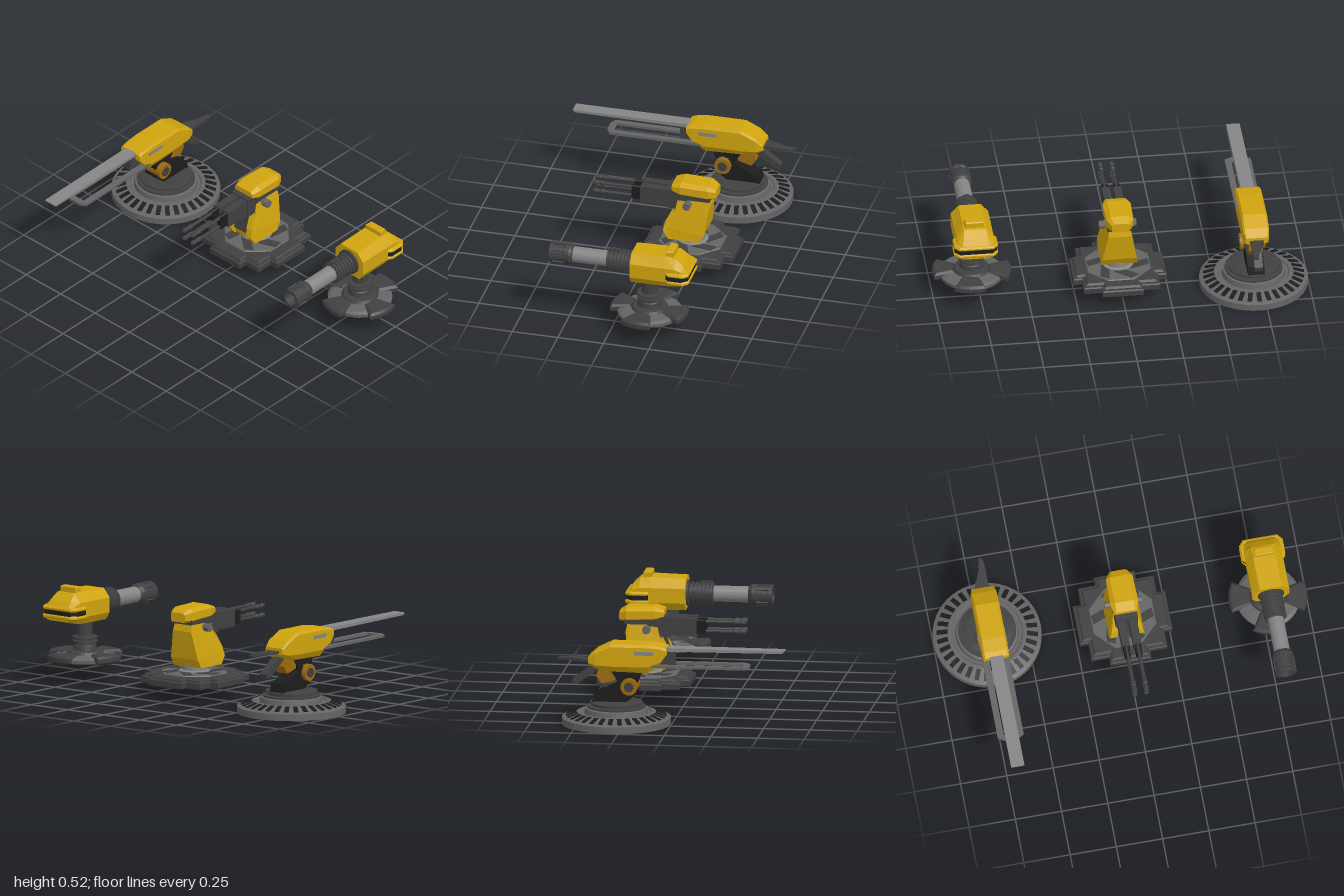
import * as THREE from 'three';

const mat = (color) => new THREE.MeshStandardMaterial({ color, flatShading: true, side: THREE.DoubleSide });
const yellow = mat(0xd0a40e), orange = mat(0x9c6c12), steel = mat(0x858585), grey = mat(0x646464), dark = mat(0x404040), black = mat(0x1c1c1c);

function add(group, name, geo, material, x = 0, y = 0, z = 0) {
  const m = new THREE.Mesh(geo, material);
  m.name = name;
  m.position.set(x, y, z);
  group.add(m);
  return m;
}
const box = (w, h, d) => new THREE.BoxGeometry(w, h, d);
const cylX = (r, l, n = 20) => new THREE.CylinderGeometry(r, r, l, n).rotateZ(Math.PI / 2);
const lathe = (pts, n = 40) => new THREE.LatheGeometry(pts.map(([r, y]) => new THREE.Vector2(r, y)), n);
const latheZ = (pts, n = 24) => lathe(pts, n).rotateX(Math.PI / 2);
const shapeOf = (pts) => new THREE.Shape(pts.map(([a, b]) => new THREE.Vector2(a, b)));

// Side outline (z, y) given a width along x
function side(pts, width) {
  return new THREE.ExtrudeGeometry(shapeOf(pts), { depth: width, bevelEnabled: false })
    .rotateY(-Math.PI / 2).translate(width / 2, 0, 0);
}
// Plan outline (x, z) given a height along y, with an optional chamfer
function plan(pts, height, bevel = 0, hole = null) {
  const shape = shapeOf(pts.map(([x, z]) => [x, -z]));
  if (hole) shape.holes.push(shapeOf(hole.map(([x, z]) => [x, -z])));
  return new THREE.ExtrudeGeometry(shape, {
    depth: height - 2 * bevel, bevelEnabled: bevel > 0, bevelSize: bevel, bevelOffset: -bevel,
    bevelThickness: bevel, bevelSegments: 1,
  }).rotateX(-Math.PI / 2).translate(0, bevel, 0);
}
// Eight-sided hull through sections [z, y0, y1, y2, y3, bottomHalf, midHalf, topHalf], rear to front
function hull(sections) {
  const pos = [], idx = [], n = 8;
  for (const [z, y0, y1, y2, y3, b, m, t] of sections)
    for (const [x, y] of [[b, y0], [m, y1], [m, y2], [t, y3], [-t, y3], [-m, y2], [-m, y1], [-b, y0]]) pos.push(x, y, z);
  for (let s = 0; s < sections.length - 1; s++)
    for (let i = 0; i < n; i++) {
      const a = s * n + i, b = s * n + (i + 1) % n;
      idx.push(a, b, b + n, a, b + n, a + n);
    }
  const f = (sections.length - 1) * n;
  for (let i = 1; i < n - 1; i++) idx.push(0, i + 1, i, f, f + i, f + i + 1);
  const g = new THREE.BufferGeometry();
  g.setAttribute('position', new THREE.Float32BufferAttribute(pos, 3));
  g.setIndex(idx);
  const flat = g.toNonIndexed();
  flat.computeVertexNormals();
  return flat;
}

// Rail gun turret on a slotted round base
function railTurret() {
  const g = new THREE.Group(), bz = -0.295;
  g.name = 'railTurret';
  add(g, 'roundBase', lathe([[0, 0], [0.29, 0], [0.29, 0.036], [0.275, 0.042], [0.205, 0.066], [0.19, 0.066],
    [0.185, 0.058], [0.17, 0.058], [0.165, 0.085], [0.15, 0.09], [0, 0.09]], 48), grey, 0, 0, bz);
  add(g, 'turntable', lathe([[0.155, 0.09], [0.155, 0.098], [0.125, 0.1], [0.125, 0.108], [0.14, 0.11], [0.14, 0.118],
    [0.11, 0.124], [0, 0.124]]), dark, 0, 0, bz);
  for (let i = 0; i < 32; i++) {
    const slot = new THREE.Group();
    slot.name = 'baseSlot';
    slot.position.z = bz;
    slot.rotation.y = i / 32 * Math.PI * 2;
    add(slot, 'slotInset', box(0.06, 0.008, 0.024), black, 0.24, 0.0535, 0).rotation.z = -0.33;
    g.add(slot);
  }
  // Leaning arm and elbow
  add(g, 'lowerArm', side([[-0.42, 0.12], [-0.41, 0.165], [-0.33, 0.2], [-0.23, 0.255], [-0.18, 0.23], [-0.18, 0.17], [-0.24, 0.12]], 0.09), black);
  add(g, 'elbow', cylX(0.045, 0.135), orange, 0, 0.21, -0.22);
  add(g, 'elbowPin', cylX(0.026, 0.145), dark, 0, 0.21, -0.22);
  add(g, 'upperArm', side([[-0.26, 0.2], [-0.19, 0.19], [-0.15, 0.32], [-0.34, 0.32]], 0.075), black);
  add(g, 'rearArmour', side([[-0.3, 0.24], [-0.37, 0.22], [-0.4, 0.26], [-0.38, 0.32], [-0.28, 0.32]], 0.07), orange);
  add(g, 'rearStrut', side([[-0.39, 0.32], [-0.43, 0.31], [-0.53, 0.235], [-0.525, 0.21], [-0.5, 0.215], [-0.42, 0.27], [-0.37, 0.31]], 0.045), dark);
  // Housing
  add(g, 'housing', hull([
    [-0.44, 0.33, 0.335, 0.355, 0.365, 0.05, 0.06, 0.055],
    [-0.40, 0.305, 0.325, 0.39, 0.40, 0.05, 0.07, 0.062],
    [-0.32, 0.29, 0.32, 0.425, 0.44, 0.05, 0.07, 0.06],
    [-0.12, 0.285, 0.32, 0.425, 0.44, 0.05, 0.07, 0.06],
    [-0.05, 0.345, 0.35, 0.42, 0.43, 0.06, 0.07, 0.06],
    [-0.02, 0.385, 0.39, 0.41, 0.42, 0.06, 0.068, 0.06]]), yellow);
  for (const s of [-1, 1]) add(g, 'sideVent', box(0.006, 0.02, 0.1), steel, s * 0.07, 0.395, -0.14);
  add(g, 'breech', box(0.07, 0.07, 0.08), dark, 0, 0.365, -0.02);
  // Rails
  add(g, 'upperRail', side([[-0.1, 0.402], [0.6, 0.407], [0.61, 0.42], [-0.1, 0.422]], 0.072), steel);
  add(g, 'lowerRail', plan([[-0.07, -0.1], [-0.07, 0.4], [-0.035, 0.42], [0.035, 0.42], [0.07, 0.4], [0.07, -0.1]], 0.014, 0,
    [[-0.036, -0.08], [-0.036, 0.385], [0.036, 0.385], [0.036, -0.08]]), grey, 0, 0.318, 0);
  add(g, 'tailFin', plan([[-0.035, -0.42], [-0.035, -0.46], [0.002, -0.55], [0.01, -0.61], [0.03, -0.61], [0.037, -0.57], [0.037, -0.42]], 0.014),
    dark, 0, 0.336, 0);
  return g;
}

// Four-barrel turret on a stepped square base
function quadTurret() {
  const g = new THREE.Group(), bz = -0.23;
  g.name = 'quadTurret';
  const cross = (a, s, w) => [[a, w], [s, w], [s, s], [w, s], [w, a]];
  const outline = (a, s, w) => {
    const q = cross(a, s, w), pts = [];
    for (let k = 0; k < 4; k++)
      for (const [x, z] of q) pts.push([[x, z], [-z, x], [-x, -z], [z, -x]][k]);
    return pts;
  };
  add(g, 'baseSlab', plan(outline(0.25, 0.205, 0.11), 0.04, 0.006), dark, 0, 0.075, bz);
  add(g, 'baseStep', plan(outline(0.235, 0.19, 0.1), 0.025, 0.01), dark, 0, 0.105, bz);
  add(g, 'deckPlate', new THREE.CylinderGeometry(0.18, 0.185, 0.006, 8).rotateY(Math.PI / 8), grey, 0, 0.132, bz);
  for (let i = 0; i < 6; i++)
    add(g, 'deckBlade', plan([[0.06, 0.02], [0.16, -0.02], [0.165, 0.03], [0.06, 0.07]], 0.004), dark, 0, 0.134, bz).rotation.y = i * Math.PI / 3;
  add(g, 'pedestal', lathe([[0.085, 0.13], [0.085, 0.14], [0.068, 0.145], [0.068, 0.17], [0, 0.17]], 24), steel, 0, 0, bz);

  // Body narrows towards the head
  const taper = (geo) => {
    const p = geo.attributes.position;
    for (let i = 0; i < p.count; i++) {
      const k = THREE.MathUtils.clamp((p.getY(i) - 0.2) / 0.2, 0, 1);
      p.setX(i, p.getX(i) * (1 - 0.42 * k));
    }
    geo.computeVertexNormals();
    return geo;
  };
  add(g, 'bodyArmour', taper(side([[-0.13, 0.165], [-0.29, 0.165], [-0.315, 0.21], [-0.335, 0.36], [-0.32, 0.42],
    [-0.17, 0.42], [-0.15, 0.33], [-0.11, 0.23]], 0.19)), yellow);
  for (const s of [-1, 1])
    add(g, 'frontCheek', taper(side([[-0.14, 0.165], [-0.12, 0.165], [-0.09, 0.21], [-0.1, 0.26], [-0.14, 0.34]], 0.04).translate(s * 0.075, 0, 0)), yellow);
  add(g, 'frontPanel', side([[-0.18, 0.22], [-0.1, 0.22], [-0.125, 0.33], [-0.18, 0.36]], 0.085), dark);
  add(g, 'headBand', box(0.135, 0.03, 0.18), dark, 0, 0.415, -0.25);
  add(g, 'headCap', hull([
    [-0.37, 0.415, 0.425, 0.455, 0.465, 0.04, 0.048, 0.035],
    [-0.33, 0.415, 0.425, 0.47, 0.488, 0.06, 0.072, 0.05],
    [-0.18, 0.425, 0.435, 0.475, 0.493, 0.065, 0.075, 0.05],
    [-0.13, 0.44, 0.445, 0.465, 0.475, 0.055, 0.062, 0.05]]), yellow);
  add(g, 'sidePods', cylX(0.022, 0.2, 8), grey, 0, 0.375, -0.22);
  add(g, 'gunMount', box(0.12, 0.11, 0.12), dark, 0, 0.39, -0.16);

  // Two by two barrels
  for (const sx of [-1, 1]) {
    add(g, 'gunBlock', box(0.042, 0.095, 0.19), dark, sx * 0.031, 0.39, -0.05);
    add(g, 'gunShroud', box(0.032, 0.07, 0.06), black, sx * 0.031, 0.39, 0.065);
    for (const y of [0.367, 0.418])
      add(g, 'gunBarrel', latheZ([[0, -0.05], [0.009, -0.05], [0.009, 0.24], [0.014, 0.245], [0.014, 0.265], [0.01, 0.27],
        [0.01, 0.278], [0.014, 0.283], [0.014, 0.305], [0.008, 0.31], [0.005, 0.31], [0.005, 0.28], [0, 0.28]], 10), dark, sx * 0.031, y, 0);
  }
  return g;
}

// Heavy cannon turret on a lobed base
function cannonTurret() {
  const g = new THREE.Group(), bz = -0.2;
  g.name = 'cannonTurret';
  add(g, 'baseDisc', lathe([[0, 0.106], [0.17, 0.106], [0.172, 0.125], [0.155, 0.135], [0.09, 0.142], [0, 0.142]], 36), grey, 0, 0, bz);
  const lobe = [];
  for (let i = 0; i <= 6; i++) {
    const a = (i / 6 - 0.5) * 0.82;
    lobe.push([0.21 * Math.cos(a), 0.21 * Math.sin(a)]);
  }
  lobe.push([0.09, 0.045], [0.09, -0.045]);
  for (let i = 0; i < 4; i++)
    add(g, 'baseLobe', plan(lobe, 0.046, 0.012), dark, 0, 0.104, bz).rotation.y = -0.15 + i * Math.PI / 2;
  add(g, 'column', lathe([[0.1, 0.14], [0.09, 0.155], [0.065, 0.16], [0.06, 0.185], [0.055, 0.19], [0.055, 0.2], [0.068, 0.203],
    [0.068, 0.212], [0.058, 0.215], [0.058, 0.222], [0.068, 0.225], [0.068, 0.232], [0.041, 0.236], [0.041, 0.34]], 28), dark, 0, 0, bz);

  // Housing with a wraparound rear band
  add(g, 'housing', hull([
    [-0.43, 0.345, 0.36, 0.40, 0.41, 0.07, 0.085, 0.07],
    [-0.40, 0.335, 0.36, 0.425, 0.45, 0.075, 0.095, 0.065],
    [-0.36, 0.325, 0.36, 0.44, 0.485, 0.075, 0.1, 0.06],
    [-0.30, 0.32, 0.36, 0.44, 0.492, 0.075, 0.1, 0.06],
    [-0.115, 0.32, 0.36, 0.44, 0.487, 0.075, 0.1, 0.06]]), yellow);
  const band = (w, r) => [[-w + 0.03, -0.29], [-w, -0.33], [-w, r + 0.03], [-w + 0.025, r], [w - 0.025, r], [w, r + 0.03], [w, -0.33], [w - 0.03, -0.29]];
  add(g, 'lowerBand', plan(band(0.118, -0.437), 0.027, 0.009), yellow, 0, 0.35, 0);
  add(g, 'bandGroove', plan(band(0.113, -0.431), 0.025), black, 0, 0.374, 0);
  add(g, 'upperBand', plan(band(0.118, -0.437), 0.023, 0.008), yellow, 0, 0.396, 0);
  add(g, 'topSight', plan([[-0.055, -0.3], [-0.05, -0.345], [0.05, -0.345], [0.055, -0.3]], 0.06, 0.006), yellow, 0, 0.46, 0);

  // Cannon: ribbed sleeve, tube and muzzle
  add(g, 'frontCollar', latheZ([[0, -0.12], [0.07, -0.12], [0.07, -0.105], [0.05, -0.1]], 28), dark, 0, 0.4, 0);
  add(g, 'recoilSleeve', latheZ([[0.05, -0.12], [0.05, 0.025], [0.045, 0.03]], 28), dark, 0, 0.4, 0);
  for (let i = 0; i < 6; i++)
    add(g, 'sleeveRib', latheZ([[0.05, -0.008], [0.06, -0.006], [0.06, 0.006], [0.05, 0.008]], 28), dark, 0, 0.4, -0.085 + i * 0.021);
  add(g, 'sleeveTab', box(0.025, 0.02, 0.06), dark, 0, 0.457, -0.01);
  add(g, 'barrelTube', latheZ([[0.043, 0.02], [0.043, 0.235]], 28), steel, 0, 0.4, 0);
  add(g, 'muzzle', latheZ([[0.043, 0.215], [0.052, 0.225], [0.057, 0.235], [0.057, 0.26], [0.05, 0.265], [0.05, 0.32], [0.057, 0.325],
    [0.057, 0.342], [0.052, 0.345], [0.038, 0.345], [0.036, 0.25], [0, 0.25]], 20), dark, 0, 0.4, 0);
  for (let i = 0; i < 8; i++) {
    const a = i / 8 * Math.PI * 2;
    add(g, 'muzzleRib', box(0.014, 0.014, 0.07), dark, 0.05 * Math.cos(a), 0.4 + 0.05 * Math.sin(a), 0.293).rotation.z = a;
  }
  return g;
}

export function createModel() {
  const model = new THREE.Group();
  model.name = 'turretSet';
  [[railTurret, -0.71], [quadTurret, 0.01], [cannonTurret, 0.79]].forEach(([make, x]) => {
    const t = make();
    t.position.x = x;
    model.add(t);
  });
  return model;
}
